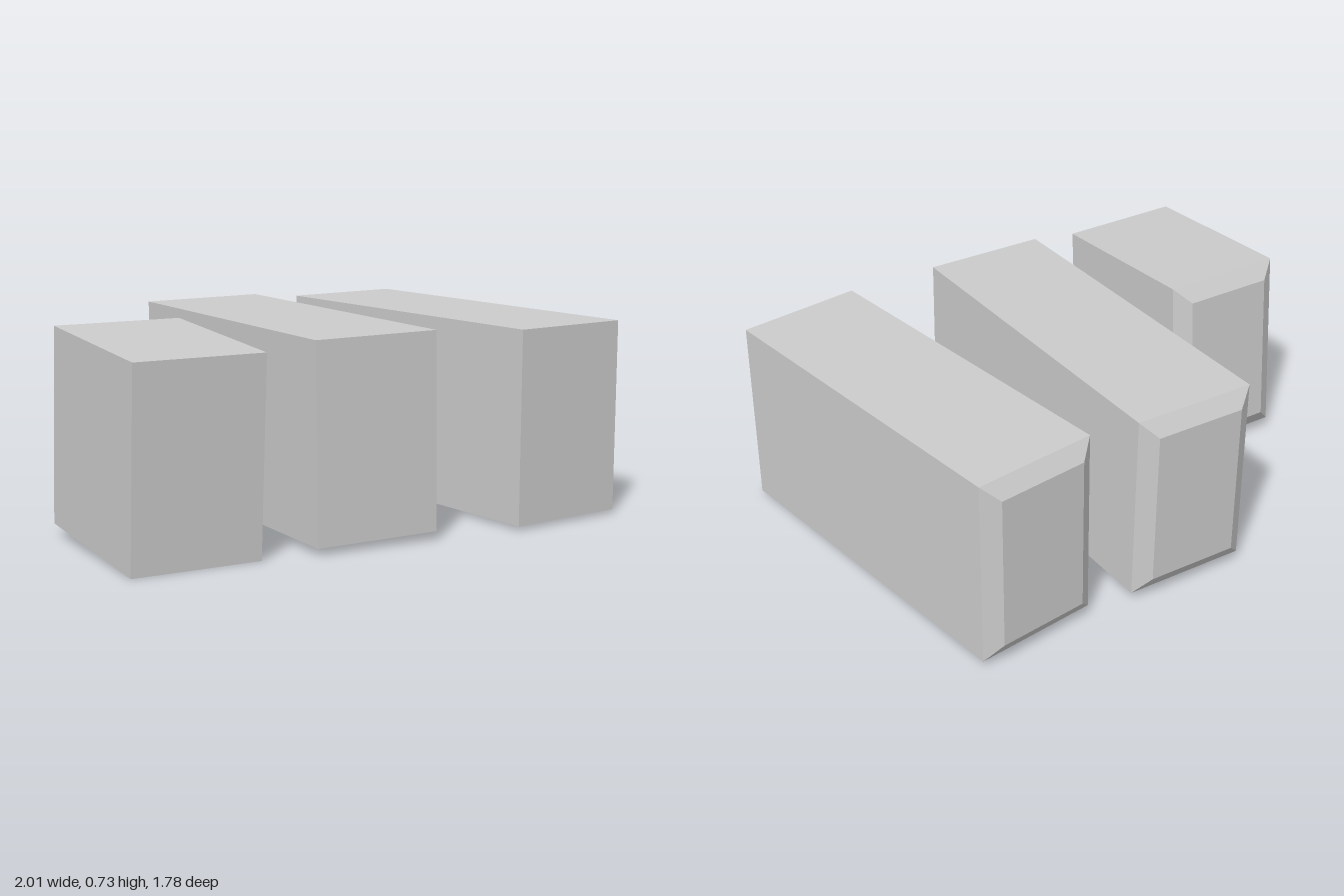
import * as THREE from 'three';
import { ConvexGeometry } from 'three/addons/geometries/ConvexGeometry.js';

const WIDTH = 0.463, HEIGHT = 0.693, INSET = 0.06, BEVEL = 0.04;

// Rectangular block whose back end is chamfered all round
function blockGeometry(length) {
  const points = [];
  const addRect = (w, h, z) => {
    for (const sx of [-1, 1]) for (const sy of [-1, 1]) {
      points.push(new THREE.Vector3(sx * w / 2, sy * h / 2, z));
    }
  };
  addRect(WIDTH, HEIGHT, length / 2);
  addRect(WIDTH, HEIGHT, -length / 2);
  addRect(WIDTH - 2 * INSET, HEIGHT - 2 * INSET, -length / 2 - BEVEL);
  return new ConvexGeometry(points);
}

export function createModel() {
  const group = new THREE.Group();
  group.name = 'stoneBlocks';
  const material = new THREE.MeshStandardMaterial({ color: 0xcccccc, flatShading: true });

  // Each block lies slightly askew: rotation is pitch, yaw, roll
  const blocks = [
    { name: 'shortBlock', length: 0.665, position: [-0.694, 0.37, 0.488], rotation: [0.064, 0.274, 0] },
    { name: 'middleLongBlock', length: 1.33, position: [-0.157, 0.378, 0.01], rotation: [0, 0.274, 0.012] },
    { name: 'leftLongBlock', length: 1.33, position: [0.524, 0.367, -0.176], rotation: [0.004, 0.401, 0] },
  ];
  for (const { name, length, position, rotation } of blocks) {
    const mesh = new THREE.Mesh(blockGeometry(length), material);
    mesh.name = name;
    mesh.position.set(...position);
    mesh.rotation.set(...rotation, 'YXZ');
    group.add(mesh);
  }
  return group;
}
